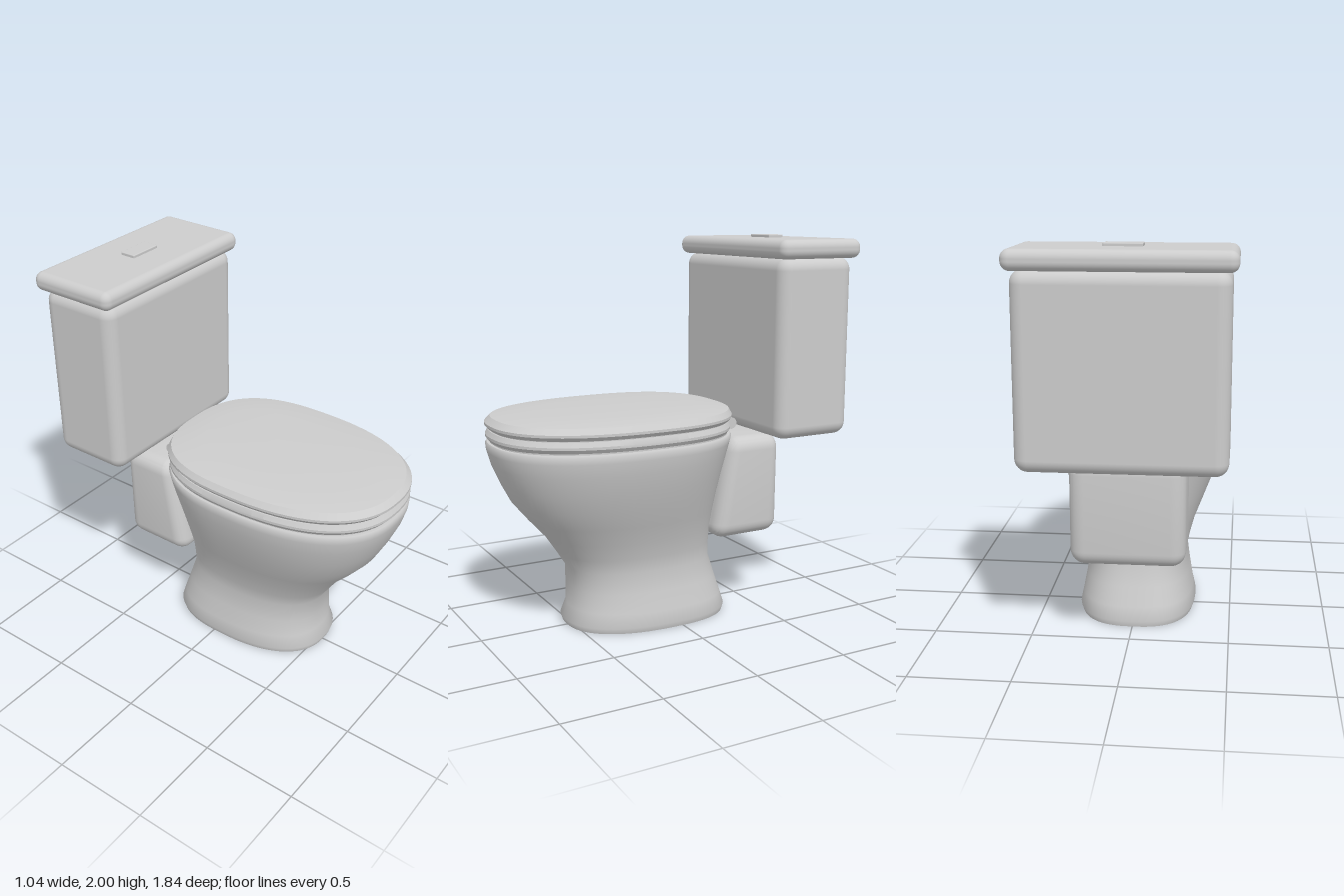
import * as THREE from 'three';
import { toCreasedNormals } from 'three/addons/utils/BufferGeometryUtils.js';
import { RoundedBoxGeometry } from 'three/addons/geometries/RoundedBoxGeometry.js';

const SEGMENTS = 72;

// Egg-shaped outline point: blunt back, longer rounded front
function eggPoint(t, halfWidth, front, back) {
  const s = Math.sin(t), c = Math.cos(t);
  const e = 2 / (c > 0 ? 2.35 : 2.6);
  const mid = front * 0.44 + back * 0.56;
  const reach = c > 0 ? front - mid : mid - back;
  return [
    Math.sign(s) * Math.abs(s) ** e * halfWidth,
    mid + Math.sign(c) * Math.abs(c) ** e * reach,
  ];
}

// Closed loft through sections [y, halfWidth, front, back], bottom to top
function loft(sections, crease) {
  const pos = [], index = [];
  for (const [y, w, f, b] of sections) {
    for (let j = 0; j < SEGMENTS; j++) {
      const [x, z] = eggPoint((j / SEGMENTS) * Math.PI * 2, w, f, b);
      pos.push(x, y, z);
    }
  }
  const last = (sections.length - 1) * SEGMENTS;
  const bottom = pos.length / 3, top = bottom + 1;
  for (const [y, , f, b] of [sections[0], sections[sections.length - 1]]) {
    pos.push(0, y, f * 0.44 + b * 0.56);
  }
  for (let j = 0; j < SEGMENTS; j++) {
    const k = (j + 1) % SEGMENTS;
    for (let r = 0; r < last; r += SEGMENTS) {
      index.push(r + j, r + k, r + SEGMENTS + k, r + j, r + SEGMENTS + k, r + SEGMENTS + j);
    }
    index.push(bottom, k, j, top, last + j, last + k);
  }
  const geo = new THREE.BufferGeometry();
  geo.setAttribute('position', new THREE.Float32BufferAttribute(pos, 3));
  geo.setIndex(index);
  return toCreasedNormals(geo, crease);
}

// Rounded box given by its limits on each axis
function block(x, y0, y1, z0, z1, radius) {
  const geo = new RoundedBoxGeometry(2 * x, y1 - y0, z1 - z0, 5, radius);
  return geo.translate(0, (y0 + y1) / 2, (z0 + z1) / 2);
}

export function createModel() {
  const model = new THREE.Group();
  model.name = 'toilet';
  const ceramic = new THREE.MeshStandardMaterial({ color: 0xcccccc });
  ceramic.name = 'ceramic';
  const add = (name, geo) => {
    const mesh = new THREE.Mesh(geo, ceramic);
    mesh.name = name;
    model.add(mesh);
    return mesh;
  };

  // Pedestal and bowl in one flowing body
  add('bowl', loft([
    [0, 0.3, 0.53, -0.35],
    [0.03, 0.31, 0.54, -0.357],
    [0.1, 0.295, 0.512, -0.335],
    [0.2, 0.277, 0.511, -0.302],
    [0.31, 0.26, 0.515, -0.268],
    [0.39, 0.277, 0.565, -0.265],
    [0.48, 0.302, 0.625, -0.266],
    [0.58, 0.343, 0.715, -0.275],
    [0.68, 0.383, 0.798, -0.288],
    [0.78, 0.418, 0.85, -0.305],
    [0.88, 0.448, 0.893, -0.327],
    [0.95, 0.462, 0.913, -0.345],
    [0.985, 0.465, 0.917, -0.355],
    [0.995, 0.458, 0.91, -0.348],
  ], 0.9));

  // Recessed spacer behind the shadow gaps
  add('seatSpacer', loft([
    [0.99, 0.445, 0.895, -0.335],
    [1.07, 0.445, 0.895, -0.335],
  ], 0.6));

  add('seat', loft([
    [1.003, 0.45, 0.9, -0.335],
    [1.022, 0.463, 0.916, -0.348],
    [1.035, 0.463, 0.916, -0.348],
    [1.058, 0.452, 0.903, -0.337],
  ], 0.45));

  // Slightly domed lid with a bevelled rim
  add('seatLid', loft([
    [1.063, 0.45, 0.902, -0.34],
    [1.082, 0.465, 0.919, -0.357],
    [1.095, 0.465, 0.919, -0.357],
    [1.123, 0.445, 0.89, -0.343],
    [1.132, 0.385, 0.81, -0.285],
    [1.14, 0.28, 0.67, -0.19],
  ], 0.45));

  // Seat hinges
  for (const side of [1, -1]) {
    const geo = new THREE.CylinderGeometry(0.03, 0.03, 0.085, 20).rotateZ(Math.PI / 2);
    add(side > 0 ? 'leftHinge' : 'rightHinge', geo).position.set(side * 0.18, 1.032, -0.33);
  }

  // Outlet block behind the bowl, its front face leaning back towards the top
  const outlet = block(0.285, 0.42, 0.96, -0.605, -0.205, 0.075);
  const p = outlet.attributes.position;
  for (let i = 0; i < p.count; i++) {
    const forward = (p.getZ(i) + 0.605) / 0.4;
    const up = (p.getY(i) - 0.42) / 0.54;
    p.setZ(i, p.getZ(i) - 0.1 * forward * up);
  }
  add('outletBlock', toCreasedNormals(outlet, 1));

  // Cistern
  add('tank', block(0.49, 0.97, 1.895, -0.89, -0.45, 0.065));
  add('tankLid', block(0.518, 1.888, 1.985, -0.92, -0.43, 0.042));
  add('flushButton', block(0.09, 1.97, 2, -0.72, -0.632, 0.005));

  return model;
}
